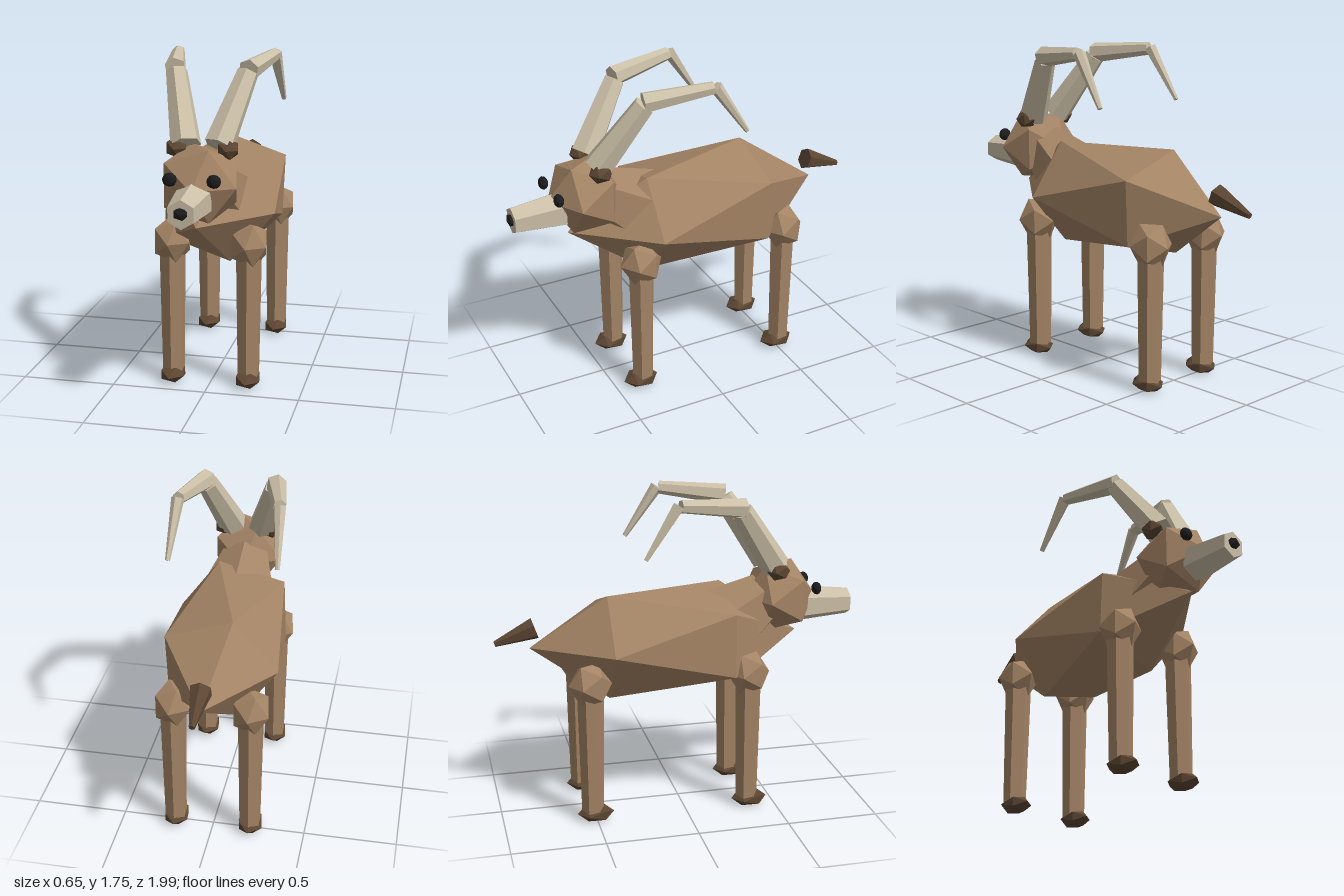
import * as THREE from 'three';
import { ConvexGeometry } from 'three/addons/geometries/ConvexGeometry.js';

const mat = (name, color) => {
  const m = new THREE.MeshStandardMaterial({ color });
  m.name = name;
  return m;
};

// Twenty-sided lump with its poles along z
function lumpGeometry(rx, ry, rz, turn = 0) {
  const pts = [new THREE.Vector3(0, 0, rz), new THREE.Vector3(0, 0, -rz)];
  for (let i = 0; i < 10; i++) {
    const a = (i * Math.PI) / 5 + turn;
    const z = i % 2 ? -0.447 : 0.447;
    pts.push(new THREE.Vector3(0.894 * rx * Math.cos(a), 0.894 * ry * Math.sin(a), z * rz));
  }
  return new ConvexGeometry(pts);
}

export function createModel() {
  const fur = mat('brown fur', 0xa48465);
  const dark = mat('dark brown', 0x5c4632);
  const horn = mat('pale horn', 0xcbbfa7);
  const black = mat('black', 0x1c1c1e);
  const model = new THREE.Group();
  model.name = 'hornedGoat';

  const add = (name, geometry, material, pos) => {
    const mesh = new THREE.Mesh(geometry, material);
    mesh.name = name;
    mesh.position.set(...pos);
    model.add(mesh);
    return mesh;
  };
  const lump = (name, material, pos, [rx, ry, rz], turn) =>
    add(name, lumpGeometry(rx, ry, rz, turn), material, pos);

  // Faceted six-sided taper between two points
  const taper = (name, material, from, to, r0, r1) => {
    const a = new THREE.Vector3(...from), b = new THREE.Vector3(...to);
    const dir = b.clone().sub(a);
    const geo = new THREE.CylinderGeometry(r1, r0, dir.length(), 6).toNonIndexed();
    geo.computeVertexNormals();
    const mid = a.clone().add(b).multiplyScalar(0.5);
    const mesh = add(name, geo, material, mid.toArray());
    mesh.quaternion.setFromUnitVectors(new THREE.Vector3(0, 1, 0), dir.normalize());
    return mesh;
  };

  // Trunk, neck and head
  lump('body', fur, [0, 0.94, -0.07], [0.362, 0.33, 0.74], -0.04);
  taper('neck', fur, [0, 0.98, 0.24], [0, 1.15, 0.5], 0.24, 0.14);
  lump('head', fur, [0, 1.147, 0.565], [0.226, 0.215, 0.208]);
  taper('snout', horn, [0, 1.09, 0.7], [0, 1.085, 0.97], 0.1, 0.073);
  lump('nose', black, [0, 1.09, 0.972], [0.04, 0.034, 0.024]);
  taper('tail', dark, [0, 1.05, -0.777], [0, 0.976, -0.992], 0.06, 0.016);

  for (const s of [1, -1]) {
    const side = s > 0 ? 'left' : 'right';

    // Eyes
    const eye = new THREE.IcosahedronGeometry(1, 1);
    eye.scale(0.037, 0.035, 0.026);
    eye.computeVertexNormals();
    add(side + 'Eye', eye, black, [0.11 * s, 1.2, 0.75]);

    // Horn root and three tapering horn sections
    lump(side + 'HornRoot', dark, [0.132 * s, 1.315, 0.525], [0.06, 0.055, 0.065]);
    taper(side + 'HornBase', horn, [0.085 * s, 1.33, 0.52], [0.185 * s, 1.665, 0.3], 0.08, 0.057);
    taper(side + 'HornMiddle', horn, [0.19 * s, 1.68, 0.31], [0.262 * s, 1.72, -0.045], 0.056, 0.035);
    taper(side + 'HornTip', horn, [0.264 * s, 1.725, -0.055], [0.284 * s, 1.455, -0.232], 0.034, 0.013);

    // Legs: shoulder or hip joint, shaft and hoof
    for (const [end, z] of [['Front', 0.345], ['Back', -0.52]]) {
      const x = 0.205 * s;
      lump(side + end + 'Joint', fur, [x, 0.78, z], [0.112, 0.128, 0.117]);
      taper(side + end + 'Leg', fur, [x, 0.04, z], [x, 0.78, z], 0.06, 0.072);
      lump(side + end + 'Hoof', dark, [x, 0.04, z + 0.015], [0.076, 0.047, 0.1]);
    }
  }
  return model;
}
